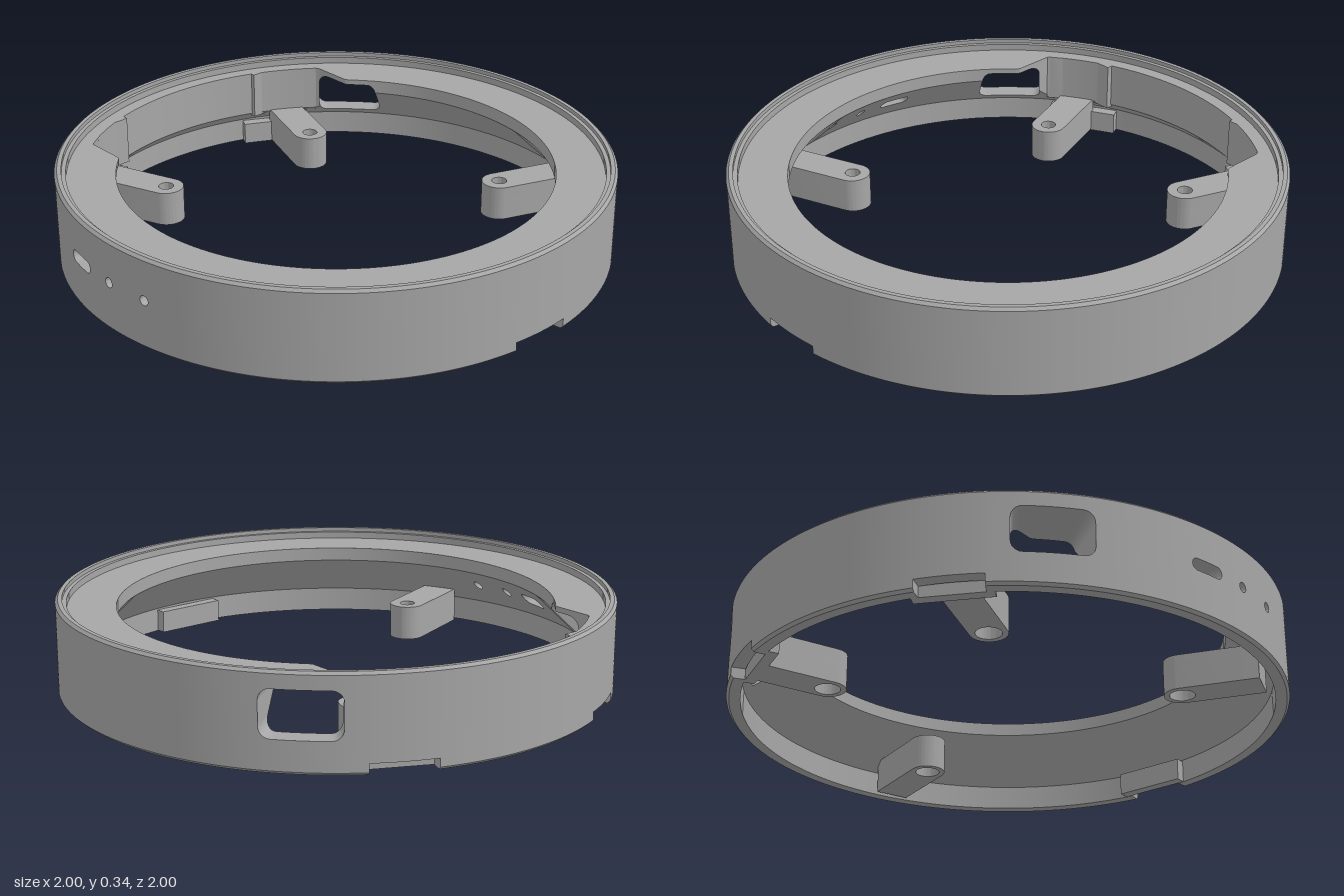
import * as THREE from 'three';
import { toCreasedNormals } from 'three/addons/utils/BufferGeometryUtils.js';

const RAD = Math.PI / 180;
const HEIGHT = 0.34, LEDGE = 0.3;
const clamp = THREE.MathUtils.clamp;

// Inner radius of the ledge at an angle (degrees from the back, + towards +x):
// the back is cut away between two straight edges.
function ledgeRadius(deg) {
  const a = ((deg + 540) % 360) - 180;
  if (Math.abs(a) > 60) return 0.785;
  const edge = a > 0 ? 0.56 : 0.54;
  return clamp(edge / Math.max(0.01, Math.abs(Math.sin(a * RAD))), 0.785, 0.91);
}

// Cross-section of the ring at an angle, limited to heights y0..y1
function section(deg, y0, y1) {
  const L = ledgeRadius(deg);
  const cone = y => Math.max(L, 0.95 - Math.max(0, y - 0.09) * 0.165 / 0.16);
  const outer = [[0.99, 0], [1, 0.01], [1, 0.33], [0.99, HEIGHT], [0.975, HEIGHT],
    [0.975, 0.325], [0.96, 0.325], [0.96, LEDGE]].map(([r, y]) => [r, clamp(y, y0, y1)]);
  const inner = [LEDGE, 0.25 - (L - 0.785) * 0.16 / 0.165, 0.09, 0].map(y => {
    const c = clamp(y, y0, y1);
    return [cone(c), c];
  });
  return [...outer, ...inner];
}

// Sweep the cross-section through a list of angles
function sweep(angles, low, high, caps) {
  const pos = [];
  const rings = angles.map(a => section(a, low(a), high(a)));
  const put = (i, j) => {
    const [r, y] = rings[i][j], a = angles[i] * RAD;
    pos.push(r * Math.sin(a), y, -r * Math.cos(a));
  };
  const n = rings[0].length, last = rings.length - 1;
  for (let i = 0; i < last; i++) {
    for (let j = 0; j < n; j++) {
      const k = (j + 1) % n;
      put(i, j); put(i, k); put(i + 1, k);
      put(i, j); put(i + 1, k); put(i + 1, j);
    }
  }
  if (caps) {
    for (const i of [0, last]) {
      const contour = rings[i].map(p => new THREE.Vector2(p[0], p[1]));
      for (const [a, b, c] of THREE.ShapeUtils.triangulateShape(contour, [])) {
        put(i, a); put(i, i ? b : c); put(i, i ? c : b);
      }
    }
  }
  const g = new THREE.BufferGeometry();
  g.setAttribute('position', new THREE.Float32BufferAttribute(pos, 3));
  return toCreasedNormals(g, 0.4);
}

// Openings in the ring: centre angle, half width in degrees, half height, corner radius, centre height
const hole = at => ({ at, w: 0.018 / RAD, h: 0.018, c: 0.018, y: 0.182 });
const windowAt = at => ({ at, w: 7.85, h: 0.0825, c: 0.04, y: 0.1975 });
const notch = at => ({ at, w: 6.6, notch: true });
const openings = [hole(-99), hole(-89),
  { at: -78.4, w: 3.9, h: 0.022, c: 0.022, y: 0.182 },
  windowAt(-46.2), notch(-27.3), notch(27.3), windowAt(46.2), notch(180)];

export function createModel() {
  const model = new THREE.Group();
  const grey = new THREE.MeshStandardMaterial({ color: 0xa6a6a6 });
  grey.name = 'plain grey';
  const add = (name, geometry, parent = model) => {
    const m = new THREE.Mesh(geometry, grey);
    m.name = name;
    parent.add(m);
    return m;
  };

  // Ring: plain stretches between the openings, split pieces at the openings
  const ring = new THREE.Group();
  ring.name = 'ring';
  model.add(ring);
  let cursor = -180 + 6.6;
  for (const o of openings) {
    const end = o.at - o.w;
    const steps = Math.max(2, Math.ceil(end - cursor));
    const plain = Array.from({ length: steps + 1 }, (_, i) => cursor + (end - cursor) * i / steps);
    add('ringWall', sweep(plain, () => 0, () => HEIGHT, true), ring);
    const angles = Array.from({ length: 25 }, (_, i) => o.at - o.w * Math.cos(Math.PI * i / 24));
    if (o.notch) {
      add('wallAboveNotch', sweep(angles, () => 0.04, () => HEIGHT), ring);
    } else {
      const half = a => {
        const cd = o.c / RAD;
        const e = clamp((Math.abs(a - o.at) - (o.w - cd)) / cd, 0, 1);
        return o.h - o.c + o.c * Math.sqrt(1 - e * e);
      };
      add('wallBelowOpening', sweep(angles, () => 0, a => o.y - half(a)), ring);
      add('wallAboveOpening', sweep(angles, a => o.y + half(a), () => HEIGHT), ring);
    }
    cursor = o.at + o.w;
  }

  // Backing plates behind the notches
  for (const o of openings.filter(o => o.notch)) {
    const plate = add('notchPlate', new THREE.BoxGeometry(0.27, 0.083, 0.04));
    const a = o.at * RAD;
    plate.position.set(0.922 * Math.sin(a), 0.0425, -0.922 * Math.cos(a));
    plate.rotation.y = -a;
  }

  // Extrude a flat outline (x, -z) upwards from y0 to y1
  const slab = (shape, y0, y1) => {
    const g = new THREE.ExtrudeGeometry(shape, { depth: y1 - y0, bevelEnabled: false, curveSegments: 24 });
    g.rotateX(-Math.PI / 2);
    g.translate(0, y0, 0);
    return toCreasedNormals(g, 0.4);
  };

  // Screw arms: rounded end with a counterbored hole
  const armShape = (length, bore) => {
    const s = new THREE.Shape();
    s.moveTo(0.065, length);
    s.lineTo(-0.065, length);
    s.lineTo(-0.065, 0);
    s.absarc(0, 0, 0.065, Math.PI, 2 * Math.PI, false);
    s.closePath();
    const p = new THREE.Path();
    p.absarc(0, 0, bore, 0, 2 * Math.PI, true);
    s.holes.push(p);
    return s;
  };
  for (const side of [-1, 1]) {
    for (const [name, x, z, dx, dz, length] of [
      ['rearArm', 0.358, -0.55, 0.34, -0.94, 0.28],
      ['frontArm', 0.585, 0.255, 0.94, 0.34, 0.285]]) {
      const arm = new THREE.Group();
      arm.name = name;
      add('armLower', slab(armShape(length, 0.045), 0.003, 0.09), arm);
      add('armUpper', slab(armShape(length, 0.028), 0.09, 0.132), arm);
      arm.position.set(side * x + 0.008, 0, z);
      arm.rotation.y = Math.atan2(-side * dx, -dz);
      model.add(arm);
    }

    // Blocks joining the rear arms to the wall
    const outline = [[0.55, 0.73], [0.5, 0.765], [0.45, 0.835], [0.315, 0.835],
      [0.315, 0.885], [0.4, 0.868], [0.57, 0.765]];
    add('rearBlock', slab(new THREE.Shape(
      outline.map(([x, y]) => new THREE.Vector2(side * x + 0.008, y))), 0.12, LEDGE));
  }
  return model;
}
